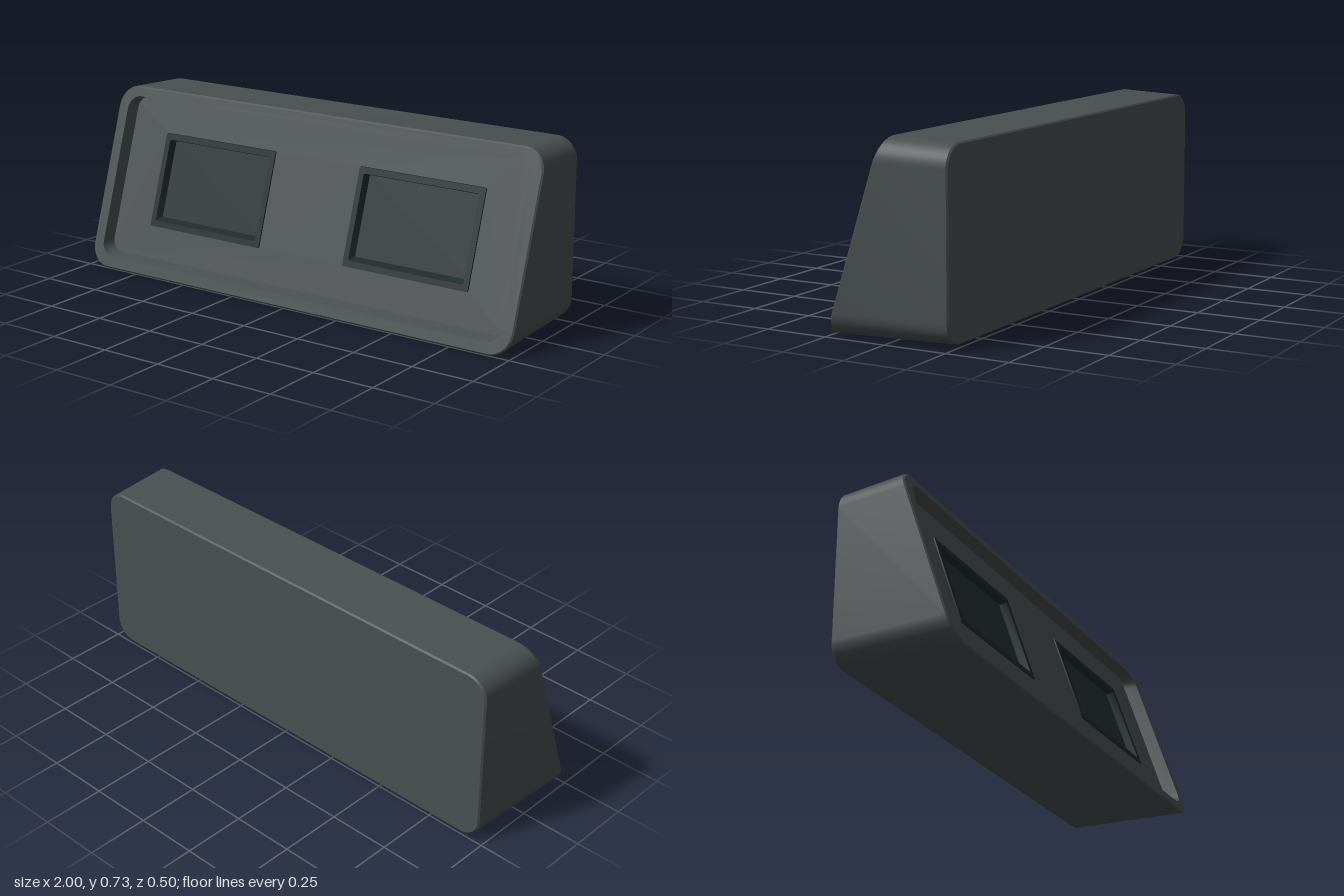
import * as THREE from 'three';
import { toCreasedNormals } from 'three/addons/utils/BufferGeometryUtils.js';

// z of the leaning front plane at height y
const frontZ = (y) => 0.252 - 0.327 * y;
const BACK_Z = -0.253;

// Rounded rectangle as points, counter-clockwise seen from +z
function outline(x0, x1, y0, y1, r, steps = 10) {
  const corners = [[x1 - r, y0 + r, -90], [x1 - r, y1 - r, 0], [x0 + r, y1 - r, 90], [x0 + r, y0 + r, 180]];
  const points = [];
  for (const [cx, cy, start] of corners) {
    for (let i = 0; i <= steps; i++) {
      const a = THREE.MathUtils.degToRad(start + (90 * i) / steps);
      points.push(new THREE.Vector2(cx + r * Math.cos(a), cy + r * Math.sin(a)));
    }
  }
  return points;
}

// Skin through rings of [x0, x1, y0, y1, radius, z rule]
function loft(rings, steps) {
  const position = [];
  const index = [];
  let n = 0;
  for (const [x0, x1, y0, y1, r, z] of rings) {
    const points = outline(x0, x1, y0, y1, r, steps);
    n = points.length;
    for (const p of points) position.push(p.x, p.y, z(p.y));
  }
  for (let k = 0; k < rings.length - 1; k++) {
    for (let j = 0; j < n; j++) {
      const a = k * n + j, b = k * n + ((j + 1) % n);
      index.push(a, b, b + n, a, b + n, a + n);
    }
  }
  const geometry = new THREE.BufferGeometry();
  geometry.setAttribute('position', new THREE.Float32BufferAttribute(position, 3));
  geometry.setIndex(index);
  return toCreasedNormals(geometry, 0.5);
}

// Flat sheet lying parallel to the leaning front, with optional holes
function sheet(points, holes, depth) {
  const shape = new THREE.Shape(points);
  for (const hole of holes) shape.holes.push(new THREE.Path(hole));
  const geometry = new THREE.ShapeGeometry(shape);
  const pos = geometry.attributes.position;
  for (let i = 0; i < pos.count; i++) pos.setZ(i, frontZ(pos.getY(i)) - depth);
  geometry.computeVertexNormals();
  return geometry;
}

export function createModel() {
  const group = new THREE.Group();
  const bodyGrey = new THREE.MeshStandardMaterial({ color: 0x4a5050 });
  const frameDark = new THREE.MeshStandardMaterial({ color: 0x1f2a2a });
  const glassDark = new THREE.MeshStandardMaterial({ color: 0x253232 });
  const add = (name, geometry, material) => {
    const mesh = new THREE.Mesh(geometry, material);
    mesh.name = name;
    group.add(mesh);
  };
  const lean = (depth) => (y) => frontZ(y) - depth;
  const back = (inset) => () => BACK_Z + inset;
  const PANEL = 0.055;

  // Housing: closed back, tapered walls, bevelled rim and recess walls
  add('housing', loft([
    [0, 0, 0.36, 0.36, 0, back(0)],
    [-0.979, 0.979, 0.017, 0.711, 0.08, back(0)],
    [-0.985, 0.985, 0.011, 0.717, 0.085, back(0.006)],
    [-1, 1, 0, 0.727, 0.09, lean(0.006)],
    [-0.994, 0.994, 0.006, 0.721, 0.085, lean(0)],
    [-0.95, 0.95, 0.045, 0.688, 0.058, lean(0)],
    [-0.94, 0.94, 0.055, 0.678, 0.05, lean(PANEL)],
  ]), bodyGrey);

  // Recessed front panel with two window openings
  const windows = [['right', -0.76, -0.2], ['left', 0.2, 0.76]];
  const y0 = 0.18, y1 = 0.55;
  add('frontPanel', sheet(
    outline(-0.94, 0.94, 0.055, 0.678, 0.05),
    windows.map(([, a, b]) => outline(a, b, y0, y1, 0.006, 2).reverse()),
    PANEL,
  ), bodyGrey);

  // Window frames with a raised lip, and the sunken glass inside them
  for (const [side, a, b] of windows) {
    const inset = (d, depth) => [a + d, b - d, y0 + d, y1 - d, 0.006, lean(depth)];
    add(`${side}WindowFrame`, loft([
      inset(0, PANEL),
      inset(0.001, PANEL - 0.005),
      inset(0.024, PANEL - 0.005),
      inset(0.034, PANEL + 0.025),
    ], 2), frameDark);
    add(`${side}WindowGlass`, sheet(
      outline(a + 0.034, b - 0.034, y0 + 0.034, y1 - 0.034, 0.006, 2), [], PANEL + 0.025,
    ), glassDark);
  }
  return group;
}
